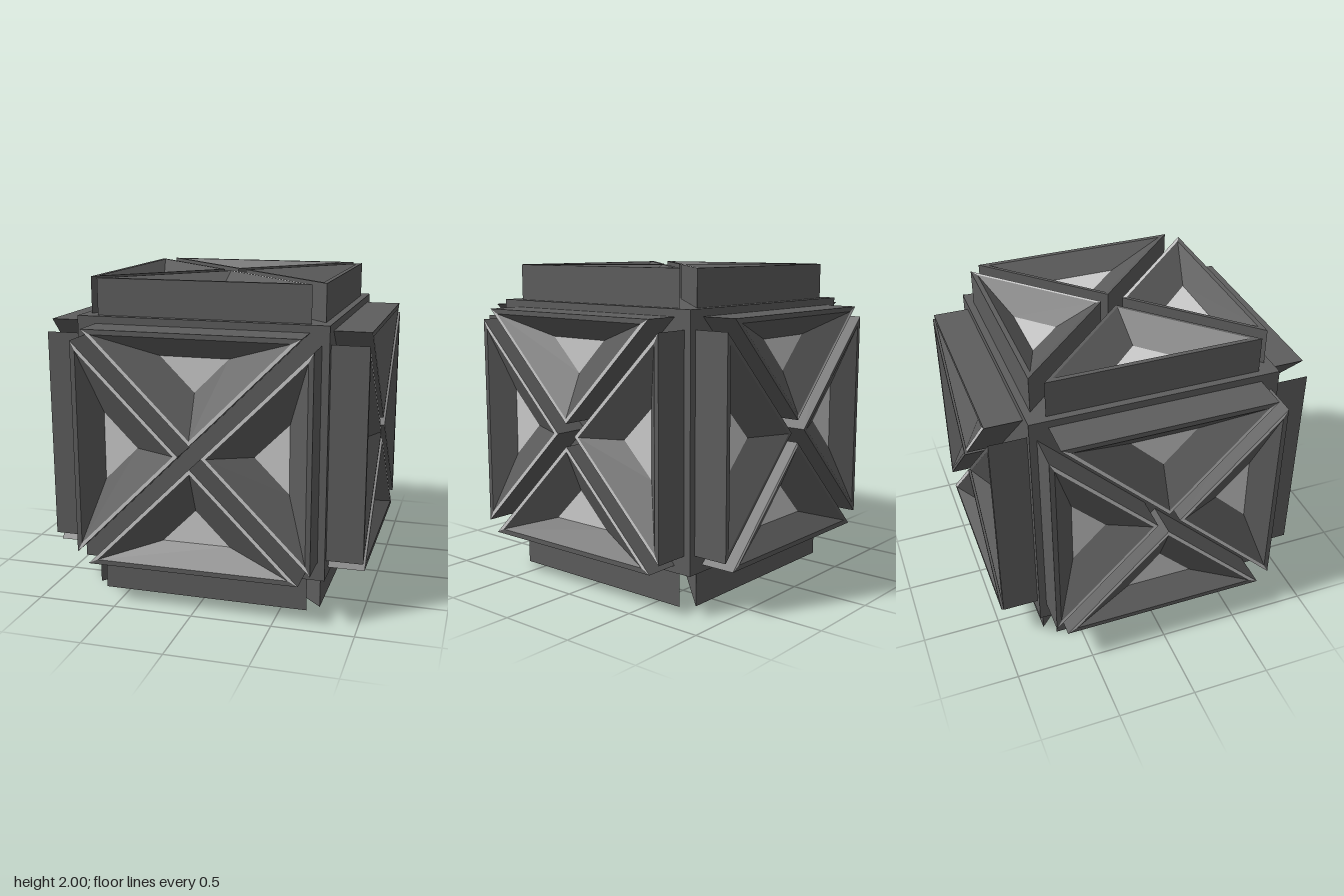
import * as THREE from 'three';

const dark = new THREE.MeshStandardMaterial({ color: 0x5d5d5d });
const light = new THREE.MeshStandardMaterial({ color: 0xcccccc });

const CORE = 0.775, TOP = 1, FLOOR = 0.88;

// Right-angled triangle ring, counter-clockwise: tip at y = tip, long side at y = base
const ring = (tip, base, z) => [[0, tip, z], [base - tip, base, z], [tip - base, base, z]];
const foot = ring(0.07, 0.73, CORE - 0.02);
const outer = ring(0.07, 0.73, TOP);
const inner = ring(0.1, 0.7, TOP);
const floor = ring(0.365, 0.575, FLOOR);

// Flat-shaded geometry from a list of triangles
function facets(triangles) {
  const g = new THREE.BufferGeometry();
  g.setAttribute('position', new THREE.Float32BufferAttribute(triangles.flat(2), 3));
  g.computeVertexNormals();
  return g;
}

// One side of the band between two rings
function band(a, b, k) {
  const n = (k + 1) % 3;
  return [[a[k], a[n], b[n]], [a[k], b[n], b[k]]];
}

const sides = [0, 1, 2];
const wallGeo = facets(sides.flatMap(k => band(foot, outer, k)));
const hollowGeo = facets(sides.flatMap(k => band(inner, floor, k)));
const rimGeos = sides.map(k => facets(band(outer, inner, k)));
const floorGeo = facets([floor]);

function add(parent, name, geometry, material) {
  const mesh = new THREE.Mesh(geometry, material);
  mesh.name = name;
  parent.add(mesh);
}

// Raised triangular block with a sloping hollow
function makeBlock(isLight) {
  const block = new THREE.Group();
  block.name = 'triangleBlock';
  add(block, 'blockWalls', wallGeo, dark);
  add(block, 'hollowSlopes', hollowGeo, dark);
  add(block, 'hollowFloor', floorGeo, light);
  sides.forEach(k => add(block, 'rimStrip', rimGeos[k], isLight(k) ? light : dark));
  return block;
}

export function createModel() {
  const model = new THREE.Group();
  model.name = 'panelledCube';

  const cube = new THREE.Group();
  cube.position.y = 1;
  model.add(cube);
  add(cube, 'coreCube', new THREE.BoxGeometry(2 * CORE, 2 * CORE, 2 * CORE), dark);

  // Which diagonal rim strips (block j, side k) are light
  const all = (j, k) => k !== 1;
  const rightHalf = (j, k) => (j === 0 && k === 0) || (j === 2 && k === 2);
  const oneDiagonal = (j, k) => j % 2 === 0 && k === 0;

  const q = Math.PI / 2;
  const faces = [
    ['frontFace', 0, 0, all],
    ['leftFace', 0, q, all],
    ['backFace', 0, 2 * q, oneDiagonal],
    ['rightFace', 0, -q, all],
    ['topFace', -q, 0, rightHalf],
    ['bottomFace', q, 0, oneDiagonal],
  ];

  // Four blocks around the centre of each face
  for (const [name, rx, ry, rule] of faces) {
    const face = new THREE.Group();
    face.name = name;
    face.rotation.set(rx, ry, 0);
    for (let j = 0; j < 4; j++) {
      const block = makeBlock(k => rule(j, k));
      block.rotation.z = j * q;
      face.add(block);
    }
    cube.add(face);
  }
  return model;
}
